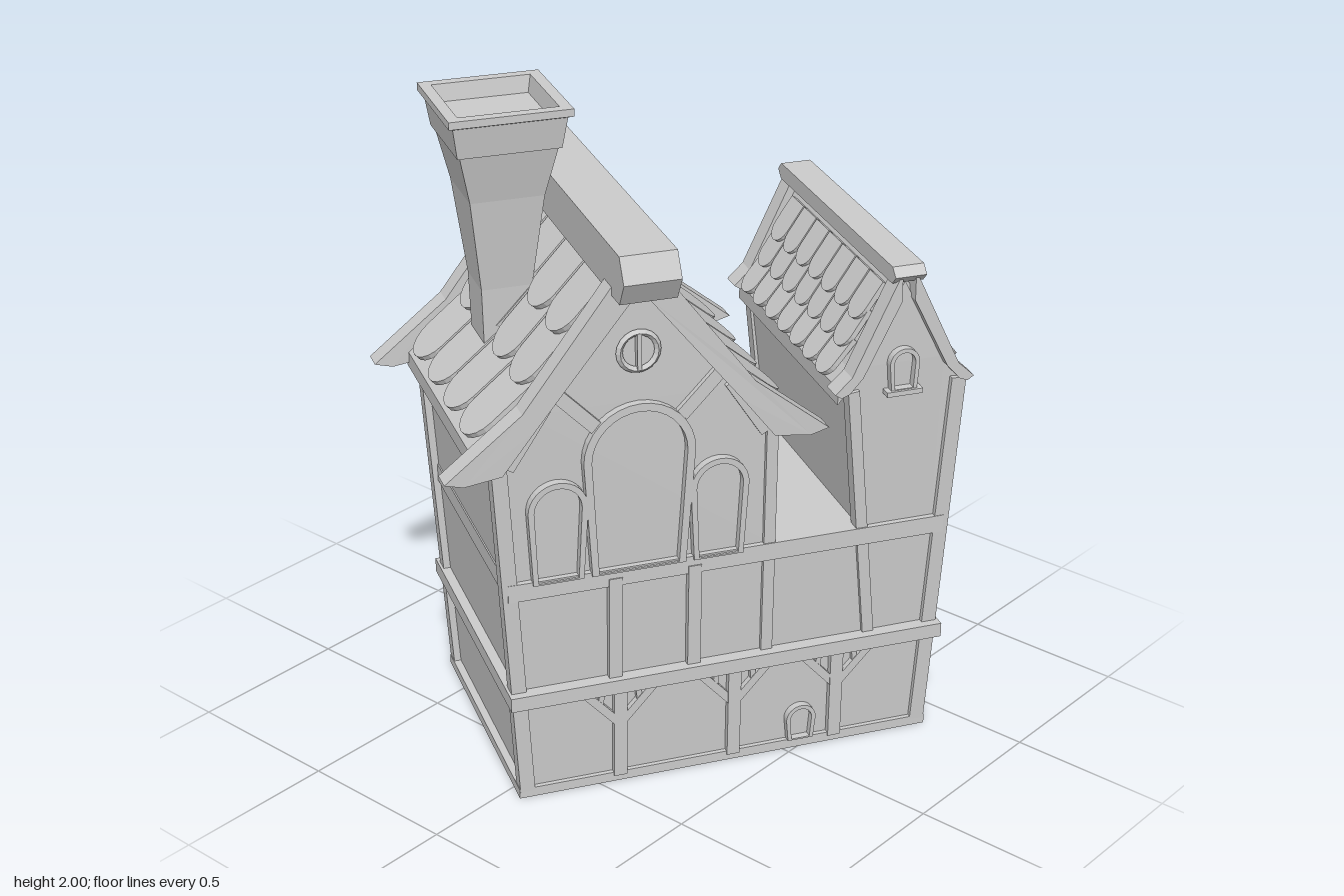
import * as THREE from 'three';

const mat = new THREE.MeshStandardMaterial({ color: 0xcccccc, flatShading: true, side: THREE.DoubleSide });
const WALL = 0.39;                              // half depth of the walls at the ground
const MAIN = -0.28, TOWER = 0.515;              // ridge positions
const halfW = y => 0.62 + 0.06 * y;             // half width of the leaning side walls

// the front and back walls lean outwards up to the eaves
function flare(geo) {
  const p = geo.attributes.position;
  for (let i = 0; i < p.count; i++) p.setZ(i, p.getZ(i) * (1 + 0.065 * Math.min(p.getY(i), 1.15)));
  geo.computeVertexNormals();
  return geo;
}

const poly = pts => new THREE.Shape(pts.map(p => new THREE.Vector2(...p)));

function slab(shape, z, depth) {
  return new THREE.ExtrudeGeometry(shape, { depth, bevelEnabled: false, curveSegments: 8 })
    .translate(0, 0, z - depth / 2);
}

// straight timber between two points of the wall plane
function beam(x0, y0, x1, y1, w, z, depth) {
  const dx = x1 - x0, dy = y1 - y0, l = Math.hypot(dx, dy);
  const nx = -dy / l * w / 2, ny = dx / l * w / 2;
  return slab(poly([[x0 - nx, y0 - ny], [x1 - nx, y1 - ny], [x1 + nx, y1 + ny], [x0 + nx, y0 + ny]]), z, depth);
}

// arched outline, slightly narrower at its foot
function archPath(cx, y0, top, w, Type) {
  const p = new Type();
  p.moveTo(cx - w * 0.85, y0);
  p.lineTo(cx + w * 0.85, y0);
  p.lineTo(cx + w, top - w);
  p.absarc(cx, top - w, w, 0, Math.PI, false);
  p.closePath();
  return p;
}
function archFrame(cx, y0, top, w, t) {
  const s = archPath(cx, y0, top, w, THREE.Shape);
  s.holes.push(archPath(cx, y0 + 0.005, top - t, w - t, THREE.Path));
  return slab(s, WALL + 0.005, 0.035);
}

// horizontal rectangular frame around the house
function ring(y, h, hx, hz, t) {
  const rect = (a, b) => [[-a, -b], [a, -b], [a, b], [-a, b]];
  const s = poly(rect(hx, hz));
  s.holes.push(new THREE.Path(rect(hx - t, hz - t).map(p => new THREE.Vector2(...p))));
  return new THREE.ExtrudeGeometry(s, { depth: h, bevelEnabled: false }).rotateX(-Math.PI / 2).translate(0, y, 0);
}

// ridge beam with wedge-shaped ends
function ridge(x, y0, y1, half, w, tip) {
  const m = (y0 + y1) / 2, e = half - tip;
  return slab(poly([[-half, m], [-e, y0], [e, y0], [half, m], [e, y1], [-e, y1]]), 0, w)
    .rotateY(Math.PI / 2).translate(x, 0, 0);
}

// half width of a roof profile at height y
function widthAt(prof, y) {
  for (let i = 1; i < prof.length; i++) {
    const [a, b] = [prof[i - 1], prof[i]];
    if (y >= b[1] || i === prof.length - 1) return a[0] + (b[0] - a[0]) * (a[1] - y) / (a[1] - b[1]);
  }
}

export function createModel() {
  const model = new THREE.Group();
  const house = new THREE.Group();
  house.name = 'house';
  house.rotation.y = THREE.MathUtils.degToRad(-30.5);
  house.position.set(0.05, 0, 0.035);
  model.add(house);
  const add = (name, geo, lean = true) => {
    const m = new THREE.Mesh(lean ? flare(geo) : geo, mat);
    m.name = name;
    house.add(m);
    return m;
  };

  // one hollow shell: gabled hall, terrace and narrow tower, open underneath
  const shell = slab(poly([
    [-halfW(0), 0], [halfW(0), 0], [halfW(1.2), 1.2], [TOWER + 0.13, 1.25], [TOWER, 1.5],
    [TOWER - 0.13, 1.25], [0.355, 1.18], [0.405, 0.72], [0.13, 0.72], [0.13, 1.12], [0.04, 1.25],
    [MAIN, 1.63], [MAIN - 0.32, 1.25], [-halfW(1.12), 1.12]]), 0, WALL * 2);
  const src = shell.attributes.position.array, keep = [];
  for (let i = 0; i < src.length; i += 9)
    if (src[i + 1] + src[i + 4] + src[i + 7] > 1e-4) keep.push(...src.slice(i, i + 9));
  const walls = new THREE.BufferGeometry();
  walls.setAttribute('position', new THREE.Float32BufferAttribute(keep, 3));
  add('walls', walls);

  // horizontal frames
  add('sill', ring(0, 0.03, 0.645, 0.405, 0.04), false);
  add('lowerBeam', ring(0.322, 0.045, 0.672, 0.44, 0.07), false);
  add('upperBeam', ring(0.675, 0.055, 0.668, 0.425, 0.04), false);
  add('terraceFloor', new THREE.BoxGeometry(0.29, 0.02, 0.8).translate(0.265, 0.72, 0), false);
  add('towerEaveBeam', new THREE.BoxGeometry(0.03, 0.05, 0.8).translate(0.69, 1.155, 0), false);

  // posts on the front and back walls
  for (const s of [1, -1]) {
    const z = s * (WALL - 0.008);
    add('cornerPost', beam(-halfW(0), 0.02, -halfW(1.12), 1.12, 0.045, z, 0.045));
    add('cornerPost', beam(halfW(0), 0.02, halfW(1.18), 1.18, 0.045, z, 0.045));
    add('hallPost', beam(0.12, 0.36, 0.12, 1.12, 0.035, z, 0.04));
    add('towerPost', beam(0.445, 0.36, 0.365, 1.18, 0.035, z, 0.04));
    add('gableTie', beam(MAIN - 0.09, 1.57, MAIN + 0.09, 1.57, 0.04, z, 0.03));
  }
  for (const x of [-0.35, -0.11]) add('frontPost', beam(x, 0.36, x, 0.7, 0.04, WALL, 0.04));

  // branching timber supports
  for (const x of [-0.335, 0.02, 0.345]) {
    add('treePost', beam(x, 0.02, x, 0.33, 0.04, WALL, 0.04));
    for (const s of [1, -1]) {
      add('treeBranch', beam(x, 0.2, x + s * 0.12, 0.335, 0.025, WALL, 0.035));
      add('treeTwig', beam(x + s * 0.06, 0.26, x + s * 0.055, 0.335, 0.016, WALL, 0.03));
    }
  }

  // openings
  add('largeWindowFrame', archFrame(MAIN, 0.72, 1.25, 0.165, 0.024));
  for (const s of [1, -1]) {
    add('sideWindowFrame', archFrame(MAIN + s * 0.24, 0.72, 1.04, 0.088, 0.018));
    add('gableBrace', beam(MAIN + s * 0.27, 1.34, MAIN + s * 0.125, 1.19, 0.04, WALL, 0.03));
    add('gableBrace', beam(MAIN + s * 0.38, 1.1, MAIN + s * 0.27, 1.27, 0.035, WALL, 0.03));
  }
  add('doorFrame', archFrame(0.235, 0.03, 0.15, 0.047, 0.013));
  add('towerWindowFrame', archFrame(TOWER, 1.17, 1.3, 0.046, 0.013));
  add('towerWindowSill', beam(TOWER - 0.055, 1.165, TOWER + 0.055, 1.165, 0.015, WALL + 0.01, 0.04));
  add('roundWindowFrame', new THREE.TorusGeometry(0.056, 0.01, 4, 20).translate(MAIN, 1.405, WALL + 0.01));
  add('roundWindowBar', beam(MAIN, 1.35, MAIN, 1.46, 0.012, WALL + 0.005, 0.03));

  // roofs: slab, bargeboards and rounded shingles
  function roof(cx, prof, boardTop, boardLow, rows, tileLen, cols, tileLift) {
    const low = prof.map(([x, y]) => [x, y - 0.05]).reverse();
    const span = 0.72, w = span / cols, r = w * 0.47;
    const tile = new THREE.Shape();
    tile.moveTo(-r, tileLen);
    tile.lineTo(-r, r);
    tile.absarc(0, r, r, Math.PI, Math.PI * 2, false);
    tile.lineTo(r, tileLen);
    const tileGeo = new THREE.ExtrudeGeometry(tile, { depth: 0.016, bevelEnabled: false, curveSegments: 5 });
    for (const s of [1, -1]) {
      const side = pts => poly(pts.map(([x, y]) => [cx + s * x, y]));
      add('roofSlab', slab(side([...prof, ...low]), 0, 0.76));
      for (const e of [1, -1])
        add('bargeboard', slab(side([...boardTop, ...boardLow]), e * 0.388, 0.06));
      for (const tipY of rows) {
        const topY = Math.min(tipY + tileLen * 0.8, prof[0][1]);
        const foot = new THREE.Vector3(s * widthAt(prof, tipY), tipY, 0);
        const up = new THREE.Vector3(s * widthAt(prof, topY), topY, 0).sub(foot).normalize();
        const n = new THREE.Vector3(s * up.y, s * -up.x, 0);
        foot.addScaledVector(n, tileLift);
        up.addScaledVector(n, -tileLift / tileLen).normalize();
        n.set(s * up.y, s * -up.x, 0);
        const basis = new THREE.Matrix4().makeBasis(new THREE.Vector3().crossVectors(up, n), up, n);
        for (let c = 0; c < cols; c++) {
          const m = add('shingle', tileGeo, false);
          m.setRotationFromMatrix(basis);
          m.position.set(cx + foot.x, foot.y, -span / 2 + w * (c + 0.5));
        }
      }
    }
  }
  roof(MAIN, [[0, 1.65], [0.32, 1.23], [0.46, 1.115]],
    [[0.02, 1.7], [0.1, 1.59], [0.34, 1.27], [0.565, 1.09]], [[0.51, 1.075], [0.4, 1.09], [0.3, 1.22], [0.02, 1.57]],
    [1.13, 1.27, 1.41], 0.25, 4, 0.025);
  roof(TOWER, [[0, 1.52], [0.15, 1.235], [0.19, 1.185]],
    [[0.02, 1.54], [0.165, 1.235], [0.215, 1.188]], [[0.195, 1.175], [0.17, 1.185], [0.13, 1.23], [0.02, 1.45]],
    [1.185, 1.265, 1.345], 0.14, 7, 0.016);
  add('mainRidgeBeam', ridge(MAIN, 1.59, 1.73, 0.56, 0.165, 0.04), false);
  add('towerRidgeBeam', ridge(TOWER, 1.505, 1.555, 0.46, 0.095, 0.025), false);

  // square chimney with stepped cap and sunken top
  const chimney = [[0.14, 1.25], [0.15, 1.45], [0.217, 1.73], [0.284, 1.88], [0.3, 1.88], [0.328, 1.972],
    [0.356, 1.978], [0.356, 2], [0.29, 2], [0.27, 1.95], [0, 1.95]]
    .map(([side, y]) => new THREE.Vector2(side * Math.SQRT1_2, y));
  add('chimney', new THREE.LatheGeometry(chimney, 4).rotateY(Math.PI / 4).translate(-0.53, 0, -0.084), false);

  return model;
}
